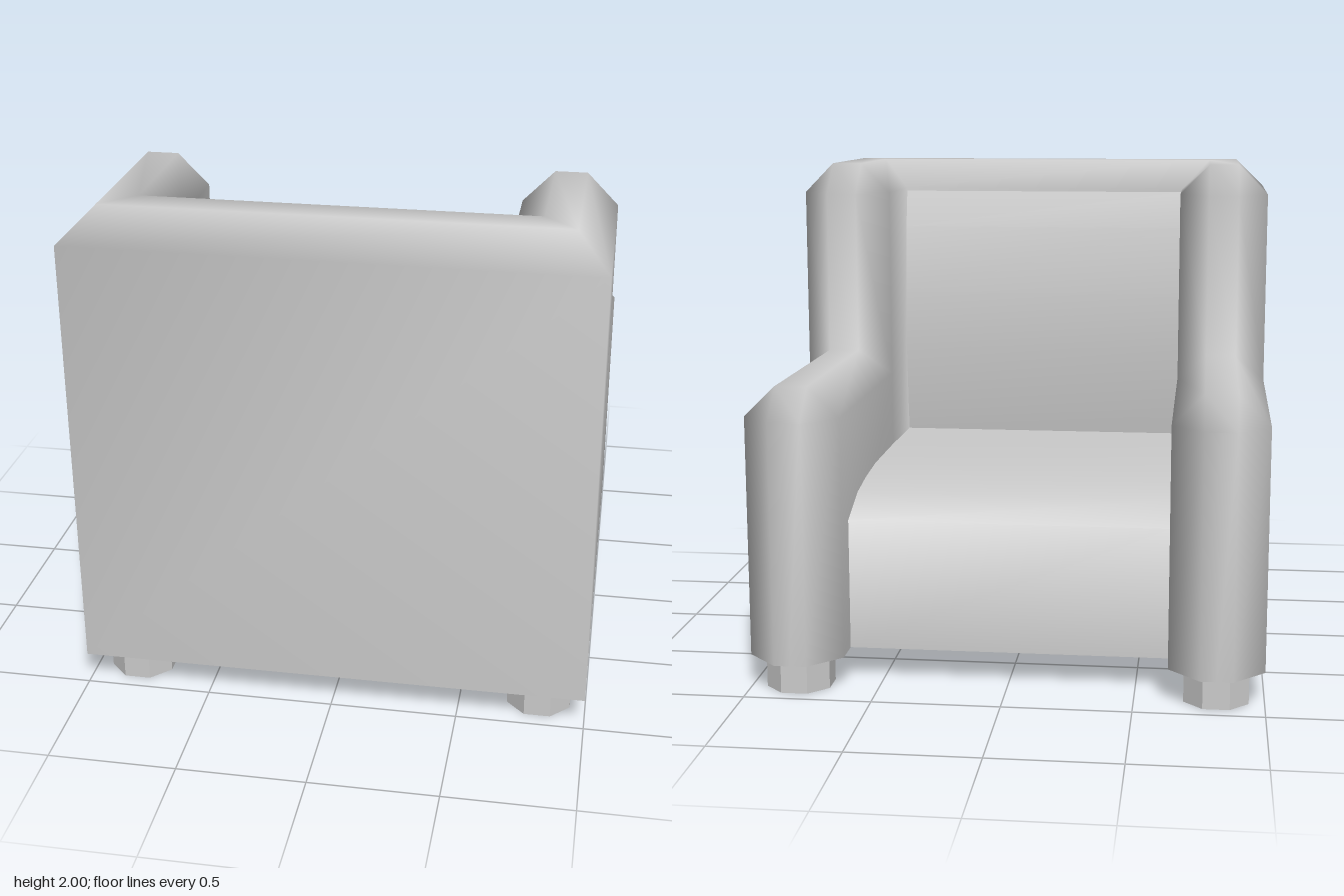
import * as THREE from 'three';
import { mergeVertices, toCreasedNormals } from 'three/addons/utils/BufferGeometryUtils.js';

const BASE = 0.13;   // underside of the body
const INNER = 0.63;  // inner face of arms and back
const MID = 0.815;   // centre line of the arms

// Cross-section of an arm: half widths of side and ridge, then height and z of each
function armSection(sideHalf, ridgeHalf, sideY, sideZ, ridgeY, ridgeZ) {
  return [
    [MID + sideHalf, BASE, sideZ], [MID + sideHalf, sideY, sideZ],
    [MID + ridgeHalf, ridgeY, ridgeZ], [MID - ridgeHalf, ridgeY, ridgeZ],
    [MID - sideHalf, sideY, sideZ], [MID - sideHalf, BASE, sideZ],
  ];
}

// U-shaped padded shell: arms, wings and back swept in one loop
function shellGeometry() {
  const side = 0.185, ridge = 0.0625;
  const half = [
    armSection(0, 0, 1.08, -1, 1.08, -1),              // front cap centre
    armSection(ridge, ridge, 1.08, -1, 1.08, -1),      // front cap edge
    armSection(side, ridge, 1.08, -0.875, 1.2, -0.875),
    armSection(side, ridge, 1.08, 0.195, 1.2, 0.07),   // foot of the wing
    armSection(side, ridge, 1.875, 0.195, 1.875, 0.07),
    armSection(side, ridge, 1.875, 0.195, 2, 0.195),   // top of the wing
    [[1, BASE, 1], [1, 1.875, 1], [0.875, 2, 0.875],   // mitred back corner
      [0.75, 2, 0.75], [INNER, 1.875, INNER], [INNER, BASE, INNER]],
  ];
  const mirrored = half.map(s => s.map(([x, y, z]) => [-x, y, z])).reverse();
  const stations = [...half, ...mirrored];
  const n = half[0].length, index = [];
  for (let i = 0; i < stations.length - 1; i++) {
    for (let j = 0; j < n - 1; j++) {
      const a = i * n + j, b = a + 1, c = a + n, d = c + 1;
      index.push(a, b, c, b, d, c);
    }
  }
  let geo = new THREE.BufferGeometry();
  geo.setAttribute('position', new THREE.Float32BufferAttribute(stations.flat(2), 3));
  geo.setIndex(index);
  geo = mergeVertices(geo, 1e-4);
  geo.computeVertexNormals();
  return geo;
}

// Cushion: a (z, y) profile extruded between the arms
function cushionGeometry(profile) {
  const shape = new THREE.Shape(profile.map(([z, y]) => new THREE.Vector2(z, y)));
  const geo = new THREE.ExtrudeGeometry(shape, { depth: 2 * INNER, bevelEnabled: false });
  geo.rotateY(-Math.PI / 2).translate(INNER, 0, 0);
  return toCreasedNormals(geo, 1.3);
}

export function createModel() {
  const group = new THREE.Group();
  const material = new THREE.MeshStandardMaterial({ color: 0xcccccc });
  const footMaterial = new THREE.MeshStandardMaterial({ color: 0xcccccc, flatShading: true });
  const add = (name, geometry, mat = material) => {
    const mesh = new THREE.Mesh(geometry, mat);
    mesh.name = name;
    group.add(mesh);
    return mesh;
  };

  add('armsAndBack', shellGeometry());

  // Seat with a rounded front edge
  add('seat', cushionGeometry([
    [-0.75, BASE], [0.65, BASE], [0.65, 0.75], [0.2, 0.76], [-0.2, 0.76],
    [-0.4, 0.745], [-0.57, 0.72], [-0.75, 0.65],
  ]));

  // Slightly bowed back cushion
  add('backCushion', cushionGeometry([
    [0.66, 0.7], [0.66, 1.86], [0.63, 1.86], [0.595, 1.7],
    [0.567, 1.4], [0.567, 1.15], [0.595, 0.85], [0.62, 0.7],
  ]));

  // Flat underside following the plan of the shell
  const side = [[1, 1], [1, -0.875], [0.8775, -1], [0.7525, -1], [INNER, -0.875], [INNER, -0.75]];
  const plan = [...side, ...side.map(([x, z]) => [-x, z]).reverse()];
  const underside = new THREE.ShapeGeometry(
    new THREE.Shape(plan.map(([x, z]) => new THREE.Vector2(x, z))));
  underside.rotateX(Math.PI / 2).translate(0, BASE, 0);
  add('underside', underside);

  // Four octagonal feet
  const foot = new THREE.CylinderGeometry(0.135, 0.135, BASE, 8, 1, false, Math.PI / 8);
  for (const x of [-1, 1]) {
    for (const z of [-1, 1]) {
      add(`${z < 0 ? 'seatEnd' : 'backEnd'}${x > 0 ? 'Left' : 'Right'}Foot`, foot, footMaterial)
        .position.set(x * 0.815, BASE / 2, z * 0.815);
    }
  }
  return group;
}
